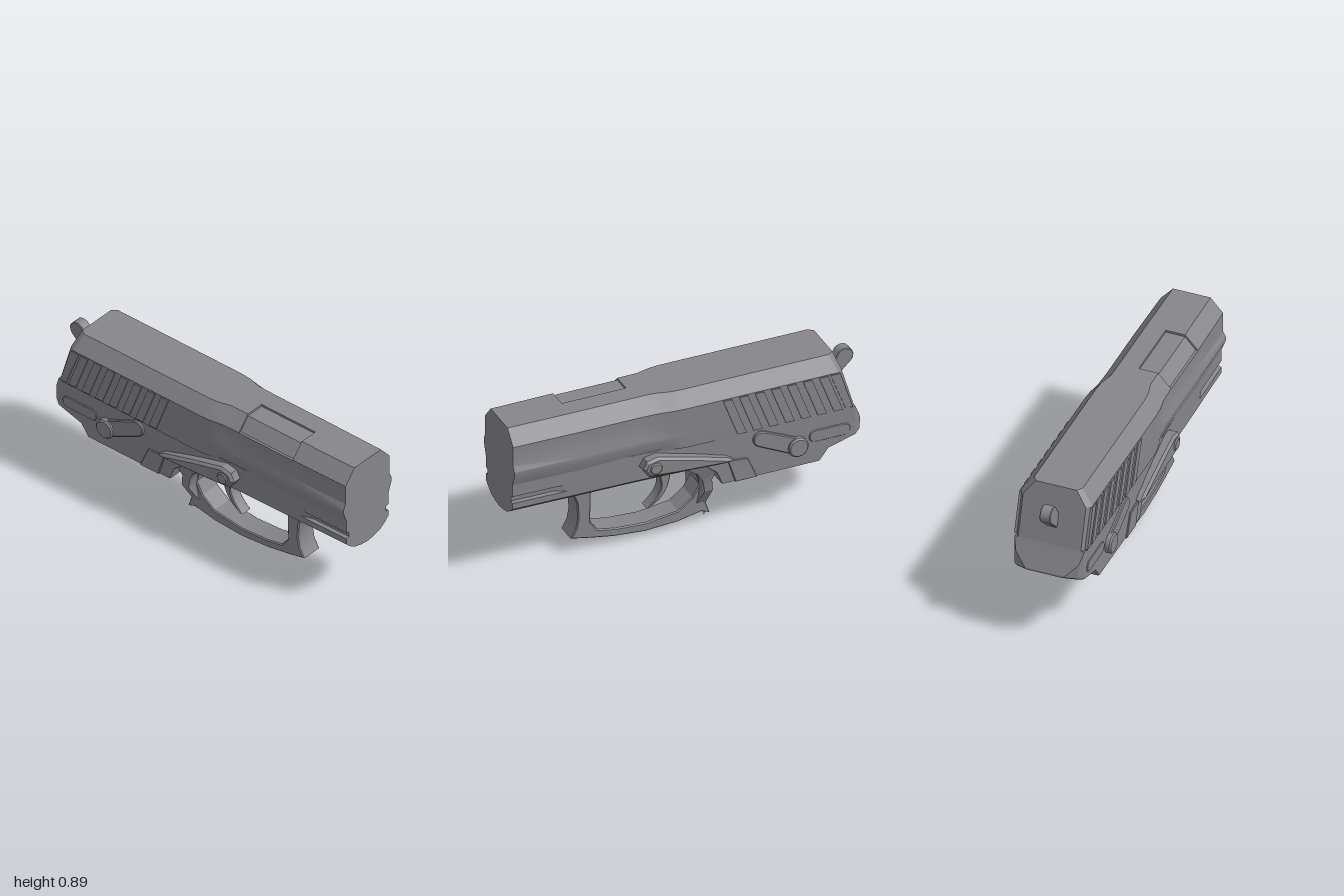
import * as THREE from 'three';
import { toCreasedNormals } from 'three/addons/utils/BufferGeometryUtils.js';

const steel = new THREE.MeshStandardMaterial({ color: 0x868588 });
steel.name = 'gunmetal grey';

// Skin a row of closed rings, with a fan cap at each end.
function loft(rings) {
  const pos = [];
  const tri = (...p) => p.forEach((v) => pos.push(...v));
  const n = rings[0].length;
  const mid = (r) => [0, 1, 2].map((k) => r.reduce((s, p) => s + p[k], 0) / n);
  const first = rings[0], last = rings[rings.length - 1];
  const c0 = mid(first), c1 = mid(last);
  for (let i = 0; i < n; i++) {
    const j = (i + 1) % n;
    for (let k = 0; k + 1 < rings.length; k++) {
      const a = rings[k], b = rings[k + 1];
      tri(a[i], a[j], b[j]);
      tri(a[i], b[j], b[i]);
    }
    tri(c0, first[j], first[i]);
    tri(c1, last[i], last[j]);
  }
  const g = new THREE.BufferGeometry();
  g.setAttribute('position', new THREE.Float32BufferAttribute(pos, 3));
  return toCreasedNormals(g, 0.4);
}

// Ring at station x from half profiles of [z, y], listed top to bottom.
function ring(x, left, right = left) {
  const at = (y) => (typeof x === 'function' ? x(y) : x);
  return [
    ...left.map(([z, y]) => [at(y), y, z]),
    ...right.slice().reverse().map(([z, y]) => [at(y), y, -z]),
  ];
}

// Plate with an outline in x and y, between z0 and z1.
function plate(points, z0, z1, bevel = 0) {
  const shape = new THREE.Shape(points.map((p) => new THREE.Vector2(p[0], p[1])));
  const g = new THREE.ExtrudeGeometry(shape, {
    depth: z1 - z0 - 2 * bevel, bevelEnabled: bevel > 0, bevelSize: bevel,
    bevelOffset: -bevel, bevelThickness: bevel, bevelSegments: 1,
  });
  g.translate(0, 0, z0 + bevel);
  return toCreasedNormals(g, 0.4);
}

// Rounded bar outline between two points, with a radius at each end.
function capsule(x0, y0, r0, x1, y1, r1) {
  const dir = Math.atan2(y1 - y0, x1 - x0), out = [];
  for (let i = 0; i <= 8; i++) {
    const a = dir - Math.PI / 2 + (i / 8) * Math.PI;
    out.push([x1 + r1 * Math.cos(a), y1 + r1 * Math.sin(a)]);
  }
  for (let i = 0; i <= 8; i++) {
    const a = dir + Math.PI / 2 + (i / 8) * Math.PI;
    out.push([x0 + r0 * Math.cos(a), y0 + r0 * Math.sin(a)]);
  }
  return out;
}

const spline = (pts, n) =>
  new THREE.CatmullRomCurve3(pts.map((p) => new THREE.Vector3(p[0], p[1], 0)))
    .getPoints(n).map((p) => [p.x, p.y]);

export function createModel() {
  const model = new THREE.Group();
  model.name = 'pistolBody';
  const add = (name, geometry, parent = model) => {
    const m = new THREE.Mesh(geometry, steel);
    m.name = name;
    parent.add(m);
    return m;
  };

  // Slide: chamfered top, narrower nose, side ridge and sunken port
  const half = (hw, tw, groove, waist, port = 0) => [
    [0, 0.89 - port], [tw, 0.89 - port], [hw - port, 0.81],
    [hw, 0.808], [hw, 0.695], [hw + groove, 0.665], [hw + groove, 0.64], [waist, 0.575],
  ];
  const slant = (offset) => (y) => -0.84 + offset - (0.89 - y) * 0.3;
  const rear = half(0.2, 0.135, 0, 0.2);
  const nose = half(0.18, 0.108, 0.012, 0.172);
  const open = half(0.18, 0.108, 0.012, 0.172, 0.012);
  add('slide', loft([
    ring(slant(0), half(0.175, 0.115, 0, 0.175)),
    ring(slant(0.03), rear),
    ring(0.03, rear),
    ring(0.09, half(0.197, 0.13, 0.003, 0.19)),
    ring(0.17, half(0.184, 0.11, 0.01, 0.175)),
    ring(0.28, nose), ring(0.28, open, nose),
    ring(0.645, open, nose), ring(0.645, nose),
    ring(1, half(0.175, 0.105, 0.015, 0.165)),
  ]));

  // Front frame: rounded belly with an accessory slot near the nose
  const frame = (hw, slot) => [
    [0, 0.585], [hw, 0.585], [hw, 0.505], [hw - slot, 0.5], [hw - slot, 0.47], [hw, 0.465],
    [hw, 0.43], [hw * 0.84, 0.405], [hw * 0.6, 0.38], [hw * 0.3, 0.366], [0, 0.36],
  ];
  add('frontFrame', loft([
    ring(-0.2, frame(0.194, 0)), ring(0.05, frame(0.185, 0)), ring(0.3, frame(0.176, 0)),
    ring(0.69, frame(0.171, 0)), ring(0.76, frame(0.169, 0.02)), ring(1, frame(0.166, 0.02)),
  ]));

  // Rear frame: rounded tail and stepped underside
  const rearStations = [
    [-1, 0.445, 0.435, 0.11], [-0.965, 0.51, 0.42, 0.175], [-0.933, 0.58, 0.405, 0.195],
    [-0.78, 0.58, 0.36, 0.195], [-0.73, 0.58, 0.295, 0.195], [-0.18, 0.58, 0.295, 0.195],
    [-0.15, 0.58, 0.37, 0.195], [-0.09, 0.58, 0.42, 0.19],
  ];
  add('rearFrame', loft(rearStations.map(([x, top, bottom, hw]) =>
    ring(x, [[0, top], [hw, top], [hw, bottom + 0.005], [hw - 0.01, bottom], [0, bottom]]))));

  // Web joining the frame to the trigger guard
  const web = [
    [0.12, -0.145, -0.09, 0.058], [0.23, -0.158, -0.112, 0.123],
    [0.295, -0.152, -0.1, 0.125], [0.36, -0.17, -0.06, 0.15], [0.43, -0.19, 0.03, 0.17],
  ];
  add('guardWeb', loft(web.map(([y, x0, x1, w]) =>
    [[x1, y, -w], [x0, y, -w], [x0, y, w], [x1, y, w]])));

  // Trigger guard loop and the small spur beneath it
  const outer = [
    [-0.15, 0.4], [-0.15, 0.3], [-0.16, 0.225], [-0.13, 0.17], [-0.168, 0.055], [-0.12, 0.072],
    [0.01, 0.045], [0.195, 0.034], [0.37, 0.048], [0.5, 0.07], [0.62, 0.095],
    [0.59, 0.15], [0.58, 0.21], [0.585, 0.3], [0.615, 0.38],
  ];
  const inner = [
    [0.505, 0.38], [0.51, 0.17], [0.47, 0.115], [0.37, 0.095], [0.195, 0.085], [0.01, 0.11],
    [-0.07, 0.17], [-0.11, 0.24], [-0.09, 0.31], [-0.03, 0.4],
  ];
  add('triggerGuard', plate([...outer, ...inner], -0.063, 0.063, 0.006));
  const spur = add('guardSpur', new THREE.ConeGeometry(0.016, 0.07, 4));
  spur.rotation.x = Math.PI;
  spur.position.set(-0.163, 0.035, 0);
  spur.scale.x = 0.5;

  // Trigger
  add('trigger', plate([
    ...spline([[0.04, 0.39], [0.042, 0.32], [0.06, 0.25], [0.105, 0.185], [0.175, 0.147]], 12),
    ...spline([[0.165, 0.155], [0.12, 0.205], [0.095, 0.26], [0.1, 0.31], [0.115, 0.39]], 12),
  ], -0.035, 0.035, 0.005));

  // Hammer and its recess bar at the rear
  add('hammer', plate(capsule(-0.88, 0.69, 0.03, -0.952, 0.783, 0.048), -0.03, 0.03, 0.004));

  // Controls and grip ribs, the same on both sides
  for (const side of [1, -1]) {
    const controls = new THREE.Group();
    controls.name = side > 0 ? 'leftControls' : 'rightControls';
    model.add(controls);
    const put = (name, pts, z0, z1, bevel) => {
      const g = plate(pts, z0, z1, bevel);
      if (side < 0) {
        // Mirror and flip the winding of each triangle
        g.scale(1, 1, -1);
        for (const key of ['position', 'normal']) {
          const a = g.attributes[key].array;
          for (let i = 0; i < a.length; i += 9) {
            for (let k = 0; k < 3; k++) [a[i + 3 + k], a[i + 6 + k]] = [a[i + 6 + k], a[i + 3 + k]];
          }
          if (key === 'normal') for (let i = 2; i < a.length; i += 3) a[i] = -Math.abs(a[i]) * Math.sign(-a[i] || 1);
        }
      }
      return add(name, g, controls);
    };
    for (let i = 0; i < 7; i++) {
      const x = -0.775 + i * 0.091;
      put('slideRib', [[x - 0.083, 0.585], [x - 0.033, 0.585], [x + 0.05, 0.805], [x, 0.805]], 0.19, 0.207);
    }
    put('rearRib', [[-0.915, 0.585], [-0.875, 0.585], [-0.79, 0.805], [-0.845, 0.805]], 0.19, 0.205);
    put('safetyPad', capsule(-0.87, 0.457, 0.035, -0.705, 0.457, 0.035), 0.18, 0.2, 0.004);
    put('decockLever', capsule(-0.6, 0.425, 0.048, -0.395, 0.522, 0.045), 0.18, 0.21, 0.005);
    put('decockPivot', capsule(-0.602, 0.425, 0.056, -0.6, 0.425, 0.056), 0.18, 0.227, 0.008);
    put('frameTab', [[-0.375, 0.297], [-0.25, 0.297], [-0.207, 0.435], [-0.32, 0.425]], 0.18, 0.203, 0.004);
    put('slideStop', [
      [-0.235, 0.445], [-0.15, 0.44], [0.1, 0.453], [0.25, 0.465], [0.285, 0.515],
      [0.262, 0.56], [0.2, 0.575], [0, 0.525], [-0.2, 0.468],
    ], 0.16, 0.236, 0.014);
    put('slideStopPin', capsule(0.214, 0.515, 0.034, 0.216, 0.515, 0.034), 0.2, 0.244, 0.006);
  }
  return model;
}
